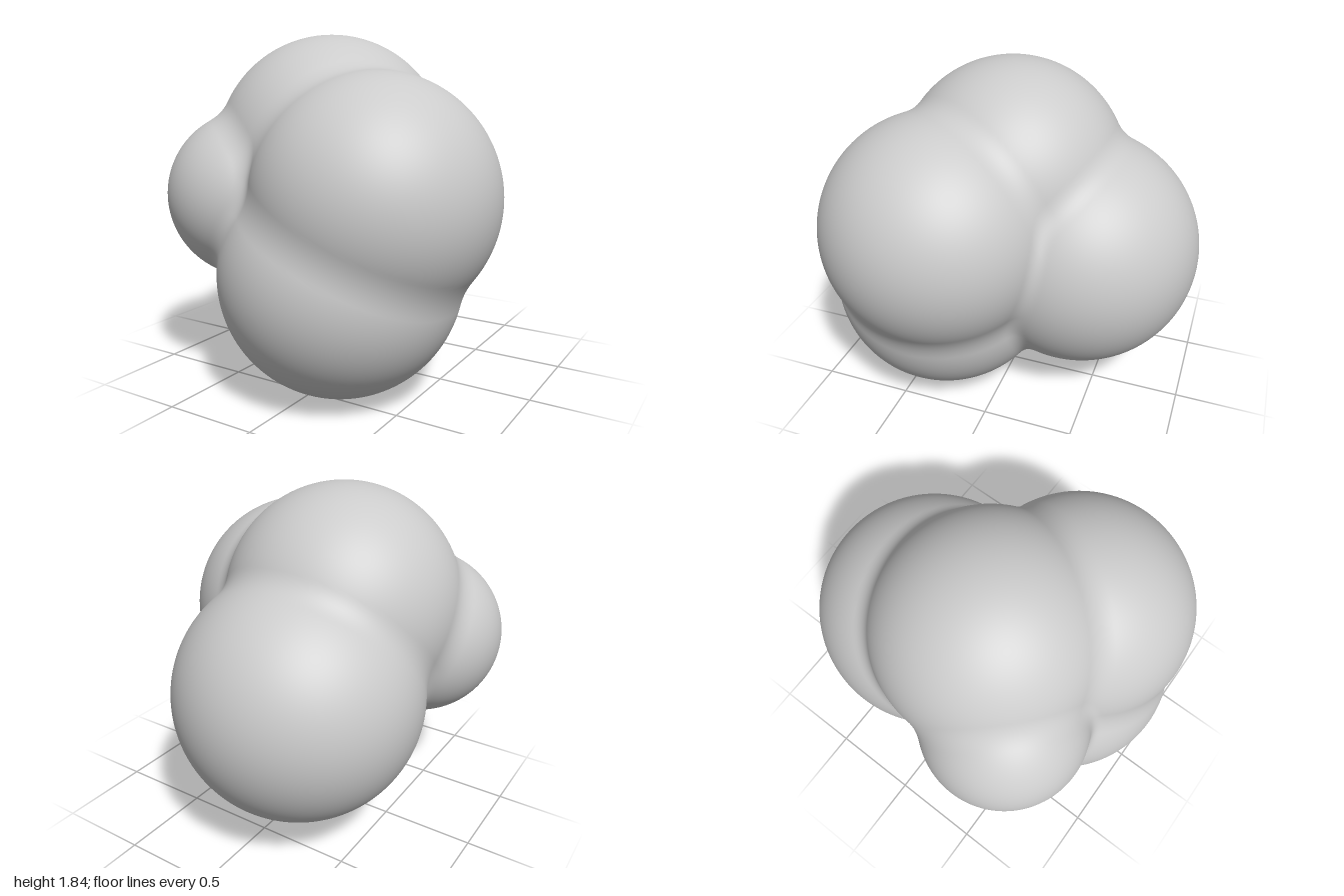
import * as THREE from 'three';

// Lobes of the cluster: centre and radius
const lobes = [
  { c: new THREE.Vector3(-0.15, 1.215, 0.06), r: 0.63 },    // top
  { c: new THREE.Vector3(0.275, 1.03, 0.325), r: 0.63 },    // left
  { c: new THREE.Vector3(0.1, 0.63, 0.37), r: 0.628 },      // bottom
  { c: new THREE.Vector3(-0.138, 0.827, -0.347), r: 0.653 }, // back
  { c: new THREE.Vector3(-0.46, 1.0, 0.38), r: 0.45 },      // small right
];
const BLEND = 0.06; // width of the soft crease between lobes

// Signed distance to the softly merged lobes
function distance(p) {
  let d = Infinity;
  for (const { c, r } of lobes) {
    const s = p.distanceTo(c) - r;
    if (d === Infinity) { d = s; continue; }
    const h = Math.max(BLEND - Math.abs(d - s), 0) / BLEND;
    d = Math.min(d, s) - h * h * BLEND / 4;
  }
  return d;
}

// Outward normal from the slope of the distance
function normalAt(p) {
  const e = 0.004;
  const slope = (axis) => {
    const a = p.clone(), b = p.clone();
    a[axis] += e;
    b[axis] -= e;
    return distance(a) - distance(b);
  };
  return new THREE.Vector3(slope('x'), slope('y'), slope('z')).normalize();
}

// Push a fine sphere outward from a point inside every lobe to the merged skin
function clusterGeometry() {
  const core = new THREE.Vector3(-0.1, 0.93, 0.17);
  const geo = new THREE.IcosahedronGeometry(1, 48);
  const pos = geo.attributes.position, nor = geo.attributes.normal;
  const dir = new THREE.Vector3(), p = new THREE.Vector3();
  for (let i = 0; i < pos.count; i++) {
    dir.fromBufferAttribute(pos, i).normalize();
    let near = 0, far = 2;
    for (let k = 0; k < 18; k++) {
      const mid = (near + far) / 2;
      p.copy(core).addScaledVector(dir, mid);
      if (distance(p) < 0) near = mid; else far = mid;
    }
    p.copy(core).addScaledVector(dir, near);
    const n = normalAt(p);
    pos.setXYZ(i, p.x, p.y, p.z);
    nor.setXYZ(i, n.x, n.y, n.z);
  }
  return geo;
}

export function createModel() {
  const group = new THREE.Group();
  group.name = 'sphereCluster';
  const skin = new THREE.Mesh(
    clusterGeometry(),
    new THREE.MeshStandardMaterial({ color: 0xcccccc })
  );
  skin.name = 'mergedLobes';
  group.add(skin);
  return group;
}
